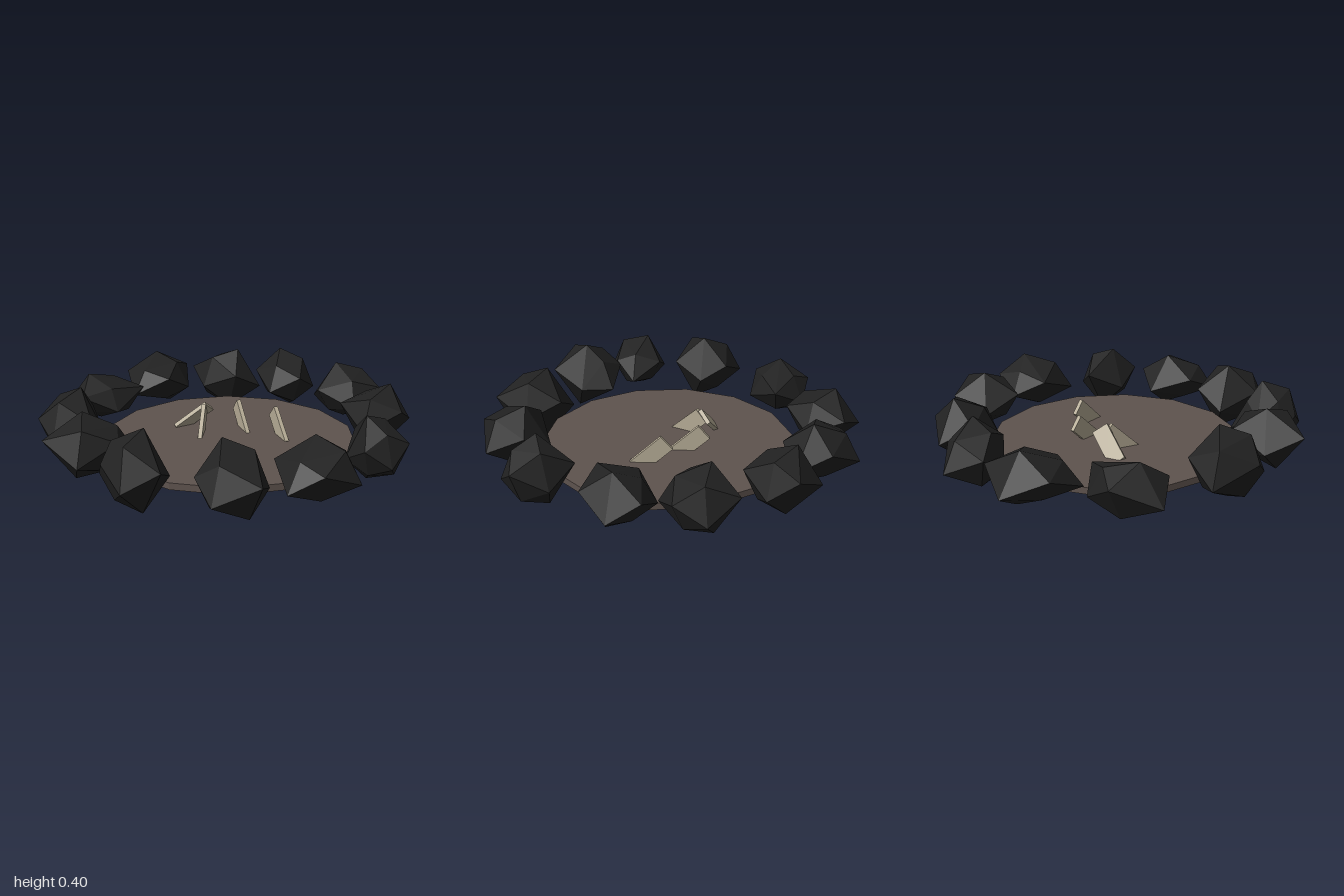
import * as THREE from 'three';
import { ConvexGeometry } from 'three/addons/geometries/ConvexGeometry.js';

const mat = (name, color) => {
  const m = new THREE.MeshStandardMaterial({ color });
  m.name = name;
  return m;
};

export function createModel() {
  const group = new THREE.Group();
  const stone = mat('charcoal stone', 0x212121);
  const earth = mat('ashen earth', 0x5e534e);
  const wood = mat('pale wood', 0xb5ab95);

  const add = (name, geometry, material) => {
    const mesh = new THREE.Mesh(geometry, material);
    mesh.name = name;
    group.add(mesh);
    return mesh;
  };

  // Low faceted disc of ash inside the ring
  const disc = new THREE.CylinderGeometry(0.67, 0.67, 0.035, 14).toNonIndexed();
  disc.computeVertexNormals();
  add('ashBed', disc, earth).position.set(0.02, 0.083, 0.03);

  // Each stone is a squashed icosahedron: a zigzag girdle with a small cap above and below
  const rock = (lo, hi, outline) => {
    const n = outline.length;
    const cx = outline.reduce((s, p) => s + p[0], 0) / n;
    const cz = outline.reduce((s, p) => s + p[1], 0) / n;
    const mid = (lo + hi) / 2;
    const points = [];
    outline.forEach(([x, z], i) => {
      const up = i % 2 ? 1 : -1;
      points.push(new THREE.Vector3(x, mid + up * 0.045, z));
      // Caps sit over the low girdle points and under the high ones, one corner of each at full height
      const drop = i < 2 ? 0 : 0.02 + 0.012 * i;
      const k = i < 2 ? 0.35 : 0.6;
      const y = up < 0 ? hi - drop : lo + drop;
      points.push(new THREE.Vector3(cx + (x - cx) * k, y, cz + (z - cz) * k));
    });
    add('ringStone', new ConvexGeometry(points), stone);
  };

  // Ring of stones, by lowest point, highest point and outline in x, z
  rock(0.05, 0.35, [[0, -1], [0.18, -0.87], [0.11, -0.69], [-0.05, -0.61], [-0.24, -0.68], [-0.2, -0.89]]);
  rock(0.05, 0.33, [[-0.66, -0.69], [-0.45, -0.81], [-0.3, -0.75], [-0.22, -0.58], [-0.42, -0.47], [-0.6, -0.53]]);
  rock(0.02, 0.4, [[-0.6, -0.2], [-0.7, -0.06], [-0.89, -0.12], [-0.92, -0.26], [-0.78, -0.46], [-0.6, -0.35]]);
  rock(0.07, 0.39, [[-0.84, 0], [-1, 0.1], [-0.9, 0.31], [-0.69, 0.29], [-0.57, 0.2], [-0.65, 0.04]]);
  rock(0.01, 0.4, [[-0.52, 0.5], [-0.63, 0.66], [-0.8, 0.6], [-0.83, 0.44], [-0.8, 0.33], [-0.69, 0.27], [-0.52, 0.32]]);
  rock(0, 0.38, [[-0.36, 0.54], [-0.19, 0.6], [-0.16, 0.79], [-0.29, 0.96], [-0.49, 0.87], [-0.5, 0.72]]);
  rock(0.04, 0.35, [[0.14, 0.64], [0.26, 0.76], [0.22, 0.96], [0, 0.99], [-0.14, 0.91], [-0.09, 0.7]]);
  rock(0.005, 0.36, [[0.34, 0.64], [0.49, 0.5], [0.61, 0.62], [0.6, 0.8], [0.46, 0.86], [0.34, 0.8]]);
  rock(0.05, 0.36, [[0.945, 0.36], [0.8, 0.475], [0.58, 0.45], [0.6, 0.2], [0.77, 0.12], [0.93, 0.2]]);
  rock(0.04, 0.37, [[0.7, -0.22], [0.9, -0.24], [1, -0.08], [0.95, 0.07], [0.75, 0.12], [0.61, -0.04]]);
  rock(0.03, 0.37, [[0.65, -0.66], [0.79, -0.52], [0.79, -0.37], [0.64, -0.28], [0.49, -0.37], [0.5, -0.56]]);
  rock(0.015, 0.36, [[0.52, -0.55], [0.34, -0.52], [0.21, -0.69], [0.21, -0.84], [0.41, -0.9], [0.52, -0.73]]);

  // Split planks leaning out of the ash: centre, long direction, face direction
  const plankGeometry = new THREE.BoxGeometry(0.022, 0.21, 0.09);
  const plank = (centre, along, facing) => {
    const y = new THREE.Vector3(...along).normalize();
    const z = new THREE.Vector3(...facing).cross(y).normalize();
    const x = new THREE.Vector3().crossVectors(y, z);
    const mesh = add('plank', plankGeometry, wood);
    mesh.quaternion.setFromRotationMatrix(new THREE.Matrix4().makeBasis(x, y, z));
    mesh.position.set(...centre);
  };
  plank([0.265, 0.14, 0.13], [0.08, 0.67, -0.74], [1, 0, 0.1]);
  plank([0.145, 0.135, -0.07], [0.1, 0.67, -0.74], [1, 0, 0.13]);
  plank([-0.08, 0.135, -0.09], [0.4, 0.67, -0.6], [0.84, 0, 0.54]);
  plank([-0.08, 0.15, -0.2], [0.14, 0.12, 0.07], [-0.08, 0.57, -0.82]);

  return group;
}
